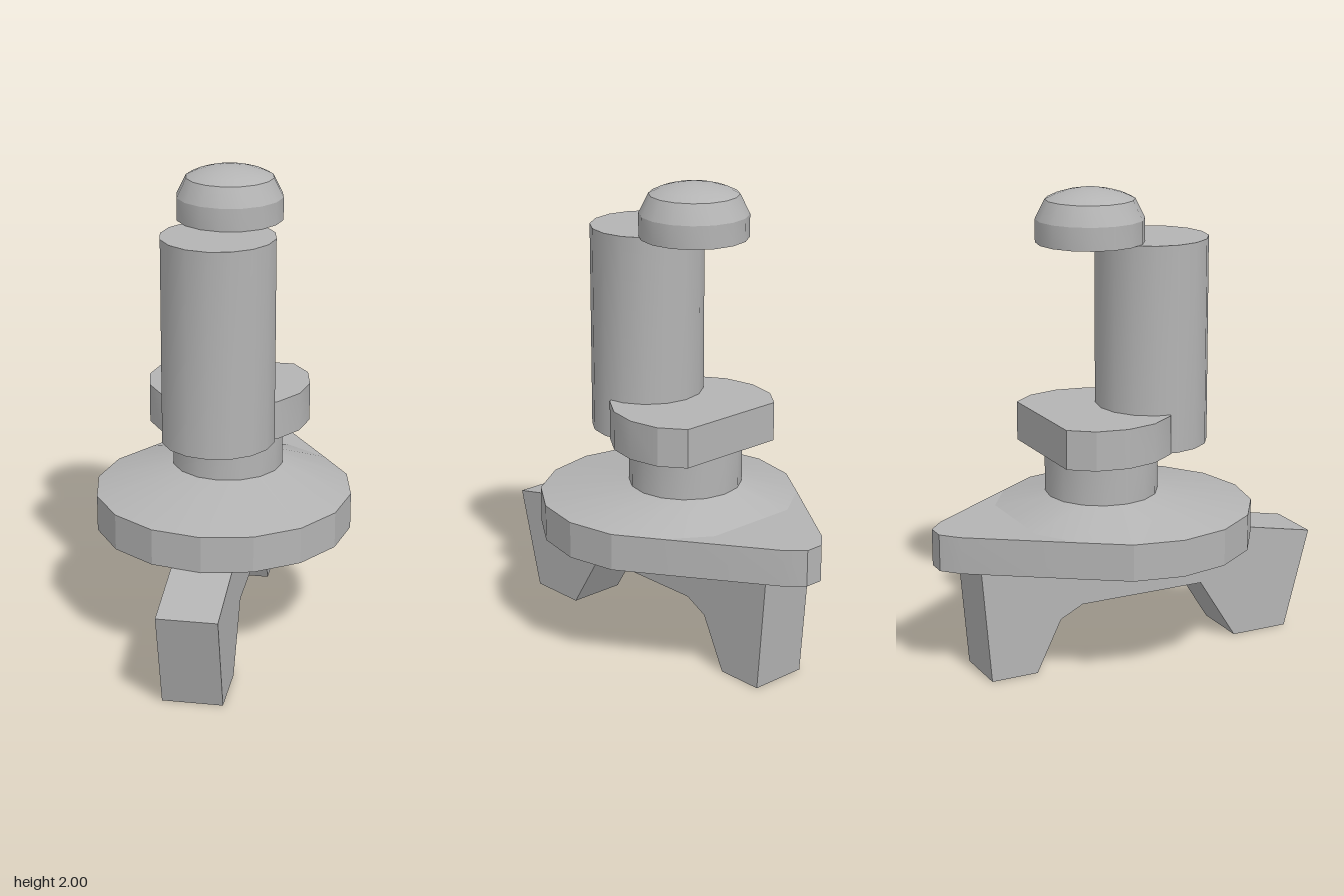
import * as THREE from 'three';
import { toCreasedNormals } from 'three/addons/utils/BufferGeometryUtils.js';

const SIDES = 16;

export function createModel() {
  const group = new THREE.Group();
  const grey = new THREE.MeshStandardMaterial({ color: 0xb4b4b4 });
  grey.name = 'plain grey';

  const add = (name, geometry, crease = 0.6) => {
    const mesh = new THREE.Mesh(toCreasedNormals(geometry, crease), grey);
    mesh.name = name;
    group.add(mesh);
    return mesh;
  };
  const extrude = (points, depth) => new THREE.ExtrudeGeometry(
    new THREE.Shape(points.map(([a, b]) => new THREE.Vector2(a, b))),
    { depth, bevelEnabled: false });
  // Horizontal plate from an outline of [x, z] points
  const plate = (outline, y0, y1) =>
    extrude(outline.map(([x, z]) => [x, -z]), y1 - y0).rotateX(-Math.PI / 2).translate(0, y0, 0);
  // Points [x, z] on a circle, angle step 0 at the front, going towards +x
  const arc = (r, cz, from, to) => {
    const pts = [];
    for (let i = from; i <= to; i++) {
      const a = (i / SIDES) * Math.PI * 2;
      pts.push([r * Math.sin(a), cz + r * Math.cos(a)]);
    }
    return pts;
  };
  const post = (r, y0, y1, z) =>
    new THREE.CylinderGeometry(r, r, y1 - y0, SIDES).translate(0, (y0 + y1) / 2, z);

  // Two-legged bridge, drawn in side profile [z, y]
  add('bridgeStand', extrude([
    [0.85, 0.425], [0.53, 0.49], [-0.71, 0.49], [-0.67, 0], [-0.465, 0],
    [-0.355, 0.22], [-0.255, 0.27], [0.31, 0.27], [0.48, 0], [0.735, 0],
  ], 0.25).rotateY(-Math.PI / 2).translate(0.125, 0, 0), 0.1);

  // Teardrop base: round at the front, tapering to a blunt tip at the back
  add('teardropBase', plate([
    ...arc(0.545, 0, -6, 6),
    [0.11, -0.79], [0.04, -0.855], [-0.04, -0.855], [-0.11, -0.79],
  ], 0.49, 0.645), 0.3);

  // Shallow flare leaning back from the base to the neck
  const flare = new THREE.CylinderGeometry(0.237, 0.545, 0.077, SIDES, 1, true);
  const p = flare.attributes.position;
  for (let i = 0; i < p.count; i++) {
    if (p.getY(i) > 0) p.setZ(i, p.getZ(i) - 0.105);
    else p.setZ(i, Math.max(p.getZ(i), -0.503));
  }
  add('flare', flare.translate(0, 0.6835, 0));

  add('neck', post(0.237, 0.722, 0.91, -0.105));

  // Cam plate: round with a straight back edge
  add('camPlate', plate([...arc(0.345, -0.15, -5, 5), [0.244, -0.38], [-0.244, -0.38]], 0.91, 1.075), 0.45);

  add('upperPost', post(0.237, 0.91, 1.78, 0.13));

  // Domed cap, offset towards the back; doubled points keep its edges sharp
  const profile = [[0, 1.78], [0.224, 1.78], [0.224, 1.875], [0.184, 1.955],
    [0.142, 1.975], [0.097, 1.988], [0.049, 1.997], [0, 2]];
  add('domedCap', new THREE.LatheGeometry(
    profile.map(([r, y]) => new THREE.Vector2(r, y)), SIDES).translate(0, 0, -0.152), 0.42);

  return group;
}
